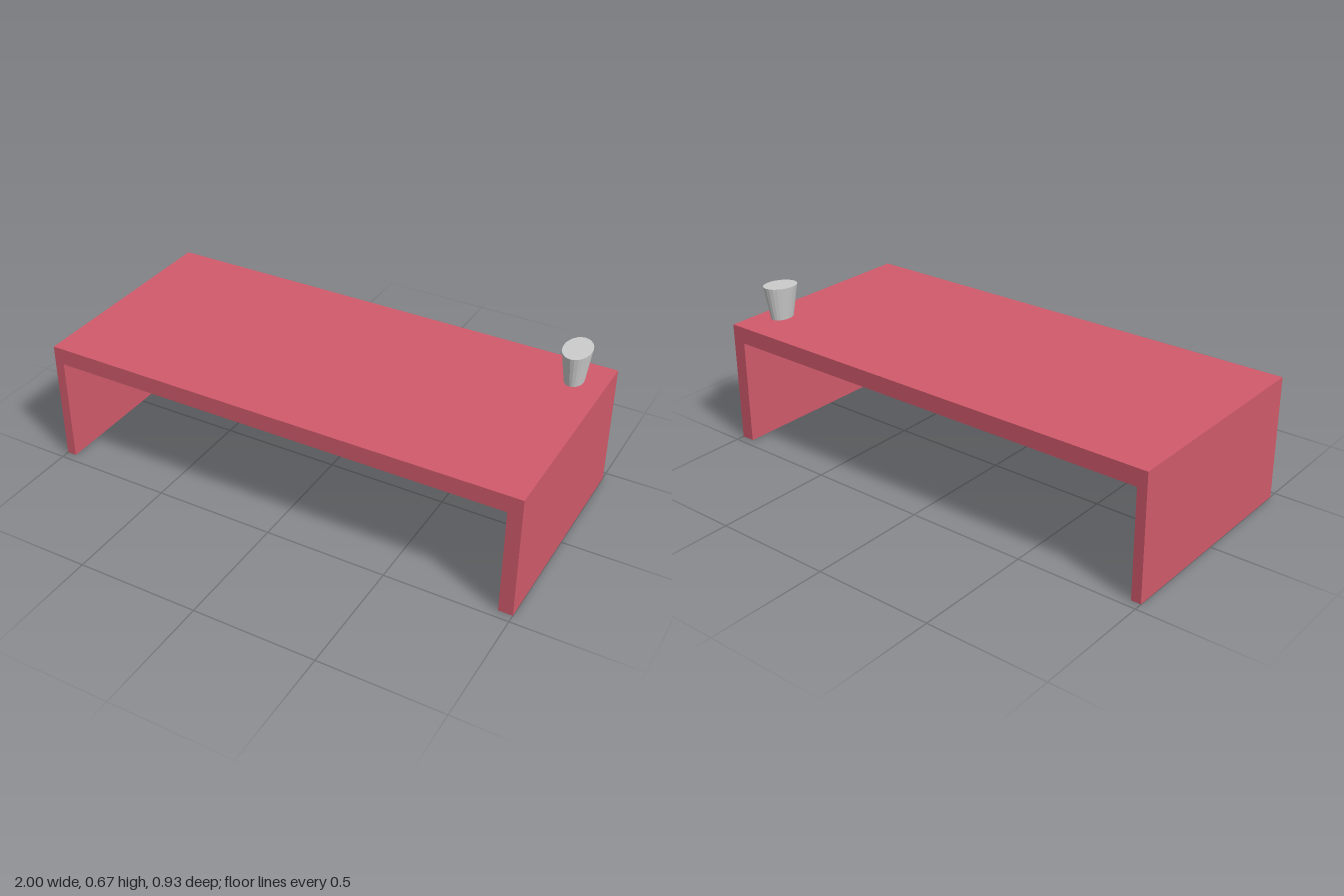
import * as THREE from 'three';

export function createModel() {
  const group = new THREE.Group();

  // Table: one bridge-shaped profile extruded along z, right-hand panel slightly thicker
  const depth = 0.93;
  const profile = new THREE.Shape([
    [-1, 0], [-0.96, 0], [-0.96, 0.445], [0.943, 0.445],
    [0.943, 0], [1, 0], [1, 0.515], [-1, 0.515],
  ].map(([x, y]) => new THREE.Vector2(x, y)));
  const tableGeometry = new THREE.ExtrudeGeometry(profile, { depth, bevelEnabled: false });
  tableGeometry.translate(0, 0, -depth / 2);
  const table = new THREE.Mesh(tableGeometry, new THREE.MeshStandardMaterial({ color: 0xd05a6b }));
  table.name = 'table';
  group.add(table);

  // Cup: tapered oval solid with a slanted top, hovering just above the table
  const height = 0.139;
  const cupGeometry = new THREE.CylinderGeometry(0.079, 0.053, height, 24);
  cupGeometry.translate(0, height / 2, 0);
  const position = cupGeometry.attributes.position;
  for (let i = 0; i < position.count; i++) {
    // raise the rim towards the back
    if (position.getY(i) > height / 2) position.setY(i, height - 0.07 * position.getZ(i));
  }
  cupGeometry.scale(0.71, 1, 1);
  cupGeometry.computeVertexNormals();
  const cup = new THREE.Mesh(
    cupGeometry,
    new THREE.MeshStandardMaterial({ color: 0xcccccc, flatShading: true }),
  );
  cup.name = 'cup';
  cup.position.set(0.883, 0.528, -0.3);
  group.add(cup);

  return group;
}
